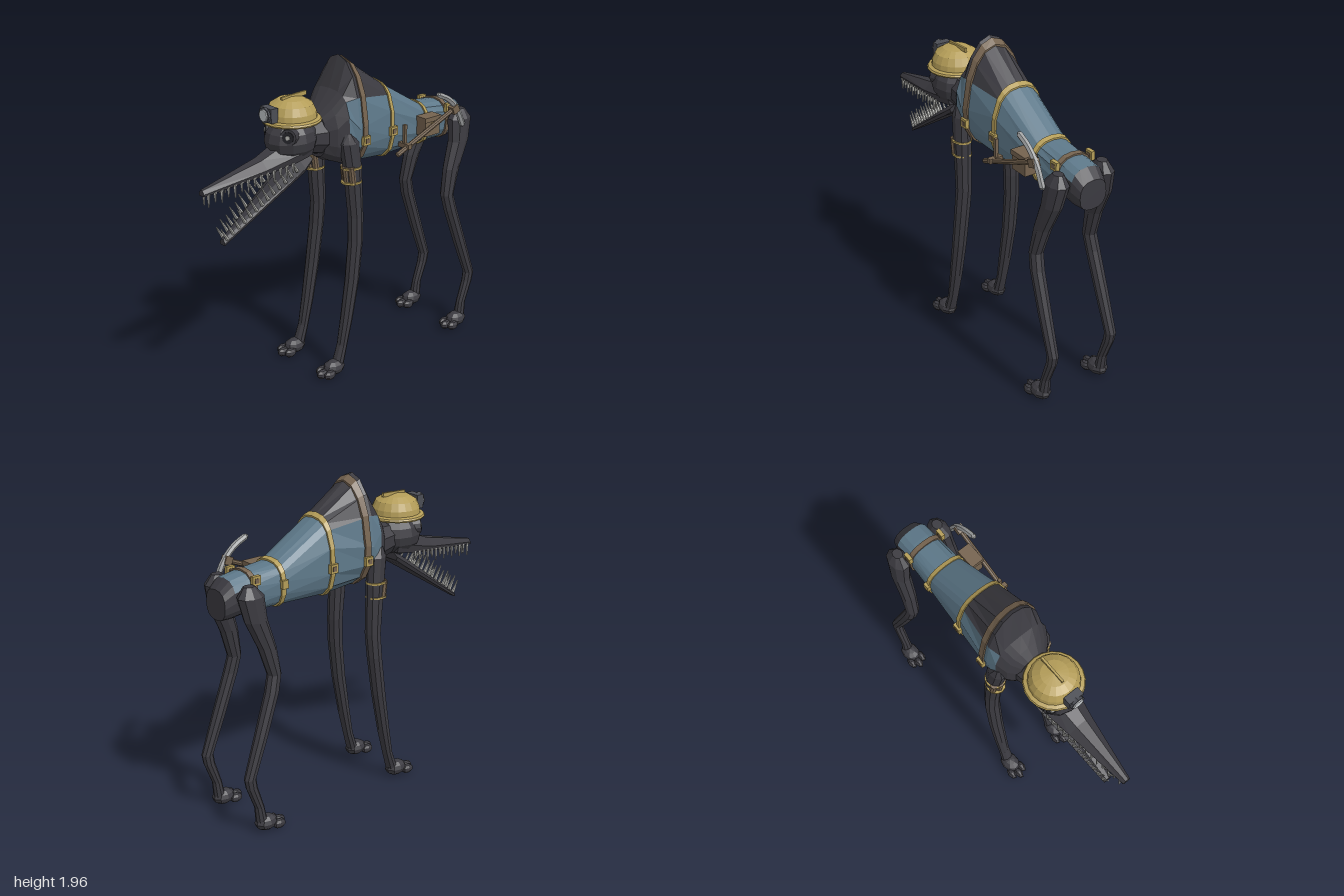
import * as THREE from 'three';

const mat = (name, color) => {
  const m = new THREE.MeshStandardMaterial({ color });
  m.name = name;
  return m;
};
const V = (x, y, z) => new THREE.Vector3(x, y, z);

export function createModel() {
  const hide = mat('charcoal hide', 0x3b3a40), cloth = mat('blue cloth', 0x5d7889);
  const gold = mat('dull gold', 0xb49d58), leather = mat('brown leather', 0x75634f);
  const steel = mat('steel', 0x9d9fa0), tooth = mat('tooth grey', 0xaaaaa6);
  const dark = mat('lamp housing', 0x4b4d54), black = mat('eye black', 0x232328), lens = mat('lens', 0xc3c7ca);
  const root = new THREE.Group();

  // Faceted mesh helper
  function add(name, geo, material, pos = [0, 0, 0], rot = [0, 0, 0], scale = [1, 1, 1], parent = root) {
    const g = geo.index ? geo.toNonIndexed() : geo;
    g.computeVertexNormals();
    const m = new THREE.Mesh(g, material);
    m.name = name;
    m.position.set(...pos);
    m.rotation.set(...rot);
    m.scale.set(...scale);
    parent.add(m);
    return m;
  }
  const box = (name, size, material, pos, rot) => add(name, new THREE.BoxGeometry(...size), material, pos, rot);
  const ball = (name, material, pos, scale, a = 12, b = 8) =>
    add(name, new THREE.SphereGeometry(1, a, b), material, pos, [0, 0, 0], scale);
  // Solid of revolution aimed from one point to another
  function rod(name, a, b, r0, r1, material, sides = 8) {
    const d = b.clone().sub(a);
    const m = add(name, new THREE.CylinderGeometry(r1, r0, d.length(), sides), material);
    m.position.copy(a).addScaledVector(d, 0.5);
    m.quaternion.setFromUnitVectors(V(0, 1, 0), d.normalize());
    return m;
  }

  // Skin rings with quads and end caps; pick(i, k) selects a material group
  function loft(rings, pick = () => 0) {
    const out = [[], []], n = rings[0].length;
    const tri = (g, ...p) => p.forEach(v => out[g].push(v.x, v.y, v.z));
    for (let i = 0; i < rings.length - 1; i++) for (let k = 0; k < n; k++) {
      const j = (k + 1) % n, a = rings[i], b = rings[i + 1], g = pick(i, k);
      tri(g, a[k], a[j], b[j]);
      tri(g, a[k], b[j], b[k]);
    }
    [rings[0], rings[rings.length - 1]].forEach((r, e) => {
      const c = r.reduce((s, p) => s.add(p), V(0, 0, 0)).divideScalar(n);
      r.forEach((p, k) => {
        const q = r[(k + 1) % n];
        if (e) tri(0, c, p, q); else tri(0, c, q, p);
      });
    });
    const geo = new THREE.BufferGeometry();
    geo.setAttribute('position', new THREE.Float32BufferAttribute(out[0].concat(out[1]), 3));
    geo.addGroup(0, out[0].length / 3, 0);
    geo.addGroup(out[0].length / 3, out[1].length / 3, 1);
    return geo;
  }

  // Torso stations: z, half width, centre y, rise, drop, cloth edge angle, roundness power
  const stations = [
    [0.18, 0.10, 1.50, 0.14, 0.13, 50, 0.8],
    [0.13, 0.155, 1.50, 0.20, 0.16, 50, 0.8],
    [0.07, 0.19, 1.50, 0.27, 0.18, 45, 0.65],
    [0, 0.20, 1.50, 0.46, 0.20, 60, 1],
    [-0.29, 0.165, 1.48, 0.27, 0.20, 45, 0.8],
    [-0.62, 0.125, 1.43, 0.12, 0.14, 60, 0.8],
    [-0.85, 0.11, 1.41, 0.12, 0.12, 70, 0.8],
    [-0.94, 0.11, 1.40, 0.115, 0.12, 70, 0.8],
    [-1, 0.09, 1.37, 0.09, 0.09, 70, 0.8],
  ];
  const spow = (v, p) => Math.sign(v) * Math.pow(Math.abs(v), p);
  function torsoRing([z, w, y, up, down, edge, p], o = 0) {
    const half = [];
    for (let k = 0; k <= 8; k++) {
      const t = (k <= 3 ? edge * k / 3 : edge + (180 - edge) * (k - 3) / 5) * Math.PI / 180;
      const c = spow(Math.cos(t), p);
      half.push([k % 8 ? (w + o) * spow(Math.sin(t), p) : 0, y + c * ((c > 0 ? up : down) + o)]);
    }
    const left = half.map(([x, h]) => V(x, h, z));
    const right = half.slice(1, 8).reverse().map(([x, h]) => V(-x, h, z));
    return left.concat(right);
  }
  function stationAt(z) {
    const i = Math.max(0, stations.findIndex((s, j) => j < stations.length - 1 && z <= s[0] && z >= stations[j + 1][0]));
    const a = stations[i], b = stations[i + 1], t = (a[0] - z) / (a[0] - b[0]);
    return a.map((v, j) => v + (b[j] - v) * t);
  }
  add('torso', loft(stations.map(s => torsoRing(s)), (i, k) => {
    const upper = k < 3 || k > 12;
    if (i === 2 || i === 3) return upper ? 0 : 1;
    if (i === 6) return upper ? 1 : 0;
    return i === 4 || i === 5 ? 1 : 0;
  }), [hide, cloth]);

  // Straps around the torso, with buckles on both flanks
  for (const [z, h, m, by] of [[-0.045, 0.02, leather, 1.47], [-0.29, 0.014, gold, 1.47],
    [-0.62, 0.014, gold, 0], [-0.81, 0.016, leather, 1.5]]) {
    add('strap', loft([torsoRing(stationAt(z + h), 0.01), torsoRing(stationAt(z - h), 0.01)]), [m, m]);
    const x = stationAt(z)[1] + 0.008;
    for (const s of [-1, 1]) {
      if (!by) { box('strapClip', [0.03, 0.05, 0.04], gold, [s * x, 1.44, z]); continue; }
      box('buckle', [0.024, 0.055, 0.055], gold, [s * x, by, z]);
      box('buckleCentre', [0.03, 0.028, 0.028], leather, [s * x, by, z]);
    }
  }

  // Head and neck
  rod('neck', V(0, 1.5, 0.1), V(0, 1.52, 0.3), 0.13, 0.1, hide, 10);
  ball('head', hide, [0, 1.525, 0.36], [0.145, 0.135, 0.165]);
  const jawRing = ([z, w, top, bottom]) => {
    const mid = bottom + (top - bottom) * 0.4;
    return [[0.4, top], [1, mid], [0.9, bottom], [-0.9, bottom], [-1, mid], [-0.4, top]].map(([a, y]) => V(a * w, y, z));
  };
  add('upperJaw', loft([[1, 0.025, 1.36, 1.325], [0.6, 0.085, 1.45, 1.375], [0.4, 0.12, 1.53, 1.41],
    [0.28, 0.11, 1.53, 1.43]].map(jawRing)), [hide, hide]);
  add('lowerJaw', loft([[0.87, 0.025, 1.03, 0.995], [0.34, 0.11, 1.4, 1.335],
    [0.28, 0.1, 1.44, 1.38]].map(jawRing)), [hide, hide]);
  for (const s of [-1, 1]) {
    for (let i = 0; i < 14; i++) {
      const t = i / 13, z = 0.43 + 0.54 * t, x = s * (0.1 - 0.078 * t), y = 1.415 - 0.08 * t;
      rod('upperTooth', V(x, y, z), V(x * 1.06, y - 0.06 - 0.018 * (i % 2), z), 0.011, 0.004, tooth, 5);
    }
    for (let i = 0; i < 13; i++) {
      const t = i / 12, z = 0.39 + 0.46 * t, x = s * (0.092 - 0.07 * t), y = 1.35 - 0.32 * t;
      const l = 0.085 + 0.015 * (i % 2);
      rod('lowerTooth', V(x, y, z), V(x, y + 0.85 * l, z + 0.5 * l), 0.011, 0.004, tooth, 5);
    }
    // Eyes look outward and forward
    const e = V(s * 0.09, 1.57, 0.445), d = V(s * 0.55, 0.1, 0.83).normalize();
    const along = (q) => e.clone().addScaledVector(d, q);
    rod('eyeSocket', along(-0.03), along(0.022), 0.056, 0.048, hide, 12);
    rod('eye', along(0), along(0.028), 0.036, 0.034, black, 12);
    rod('pupil', along(0.02), along(0.033), 0.015, 0.013, tooth, 8);
  }

  // Helmet with ridge and lamp
  const profile = [[0, 1.63], [0.172, 1.63], [0.178, 1.64], [0.172, 1.65], [0.15, 1.657], [0.146, 1.69],
    [0.125, 1.735], [0.08, 1.763], [0, 1.775]];
  add('helmet', new THREE.LatheGeometry(profile.map(p => new THREE.Vector2(...p)), 20), gold, [0, 0, 0.355]);
  box('helmetRidge', [0.014, 0.025, 0.18], gold, [0, 1.773, 0.335], [0.05, 0, 0]);
  box('lampMount', [0.1, 0.085, 0.05], dark, [0, 1.7, 0.515]);
  rod('lampHousing', V(0, 1.7, 0.53), V(0, 1.7, 0.555), 0.045, 0.048, dark, 8);
  rod('lampLens', V(0, 1.7, 0.55), V(0, 1.7, 0.562), 0.038, 0.036, lens, 8);

  // Legs from horizontal rings: x, y, z, radius x, radius z
  const legRing = ([x, y, z, rx, rz], s) => Array.from({ length: 9 }, (_, k) => {
    const t = k / 9 * Math.PI * 2;
    return V(s * x + rx * Math.sin(t), y, z - rz * Math.cos(t));
  });
  const frontLeg = [[0.16, 1.53, 0.07, 0.03, 0.025], [0.162, 1.47, 0.055, 0.052, 0.065], [0.17, 1.3, 0.035, 0.052, 0.06],
    [0.175, 1.0, 0.015, 0.05, 0.048], [0.183, 0.85, 0.022, 0.05, 0.045], [0.188, 0.6, 0.052, 0.047, 0.043],
    [0.188, 0.35, 0.095, 0.042, 0.037], [0.188, 0.18, 0.13, 0.036, 0.03], [0.19, 0.05, 0.17, 0.04, 0.035]];
  const hindLeg = [[0.15, 1.49, -0.88, 0.03, 0.035], [0.155, 1.43, -0.875, 0.062, 0.085], [0.17, 1.29, -0.855, 0.056, 0.073],
    [0.18, 1.12, -0.79, 0.048, 0.058], [0.19, 0.95, -0.75, 0.043, 0.043], [0.198, 0.85, -0.775, 0.043, 0.045],
    [0.205, 0.6, -0.865, 0.04, 0.043], [0.21, 0.36, -0.955, 0.034, 0.037], [0.21, 0.3, -0.945, 0.032, 0.036],
    [0.21, 0.16, -0.895, 0.03, 0.03], [0.21, 0.05, -0.88, 0.038, 0.035]];
  for (const s of [-1, 1]) {
    for (const [name, path, fx, fz] of [['frontLeg', frontLeg, 0.192, 0.19], ['hindLeg', hindLeg, 0.212, -0.86]]) {
      add(name, loft(path.map(p => legRing(p, s))), [hide, hide]);
      ball('foot', hide, [s * fx, 0.05, fz + 0.01], [0.056, 0.048, 0.075], 9, 6);
      for (const t of [-1, 0, 1])
        ball('toe', hide, [s * fx + t * 0.04, 0.031, fz + (t ? 0.075 : 0.1)], [0.025, 0.03, 0.045], 7, 5);
    }
    // Leg pouch with three tubes and gold bands
    for (const t of [-1, 0, 1])
      rod('pouchTube', V(s * 0.17 + t * 0.035, 1.22, 0.075 - 0.014 * t * t),
        V(s * 0.17 + t * 0.035, 1.33, 0.09 - 0.014 * t * t), 0.021, 0.021, leather, 8);
    for (const y of [1.228, 1.318])
      add('legBand', new THREE.CylinderGeometry(1, 1, 0.012, 12), gold, [s * 0.17, y, 0.042], [0, 0, 0], [0.06, 1, 0.067]);
  }

  // Side pouch
  box('sidePouch', [0.075, 0.1, 0.125], leather, [0.168, 1.435, -0.59]);
  box('pouchFlap', [0.085, 0.03, 0.135], leather, [0.17, 1.49, -0.59]);
  box('pouchClasp', [0.006, 0.024, 0.024], gold, [0.208, 1.455, -0.59]);

  // Pickaxe carried on the left flank
  rod('pickHandle', V(0.222, 1.33, -0.28), V(0.222, 1.53, -0.77), 0.016, 0.015, leather);
  const arc = new THREE.CatmullRomCurve3([V(0.222, 1.64, -0.62), V(0.222, 1.6, -0.7), V(0.222, 1.52, -0.78), V(0.222, 1.41, -0.835)]);
  add('pickHead', new THREE.TubeGeometry(arc, 10, 0.019, 6), steel);
  for (const i of [0, 1]) ball('pickEnd', steel, arc.getPoint(i).toArray(), [0.017, 0.017, 0.017], 6, 4);
  box('pickCollar', [0.046, 0.05, 0.05], leather, [0.222, 1.525, -0.755], [0.39, 0, 0]);
  box('pickHook', [0.02, 0.13, 0.02], leather, [0.2, 1.435, -0.36]);
  box('pickBracket', [0.09, 0.03, 0.03], leather, [0.205, 1.37, -0.36]);

  return root;
}
